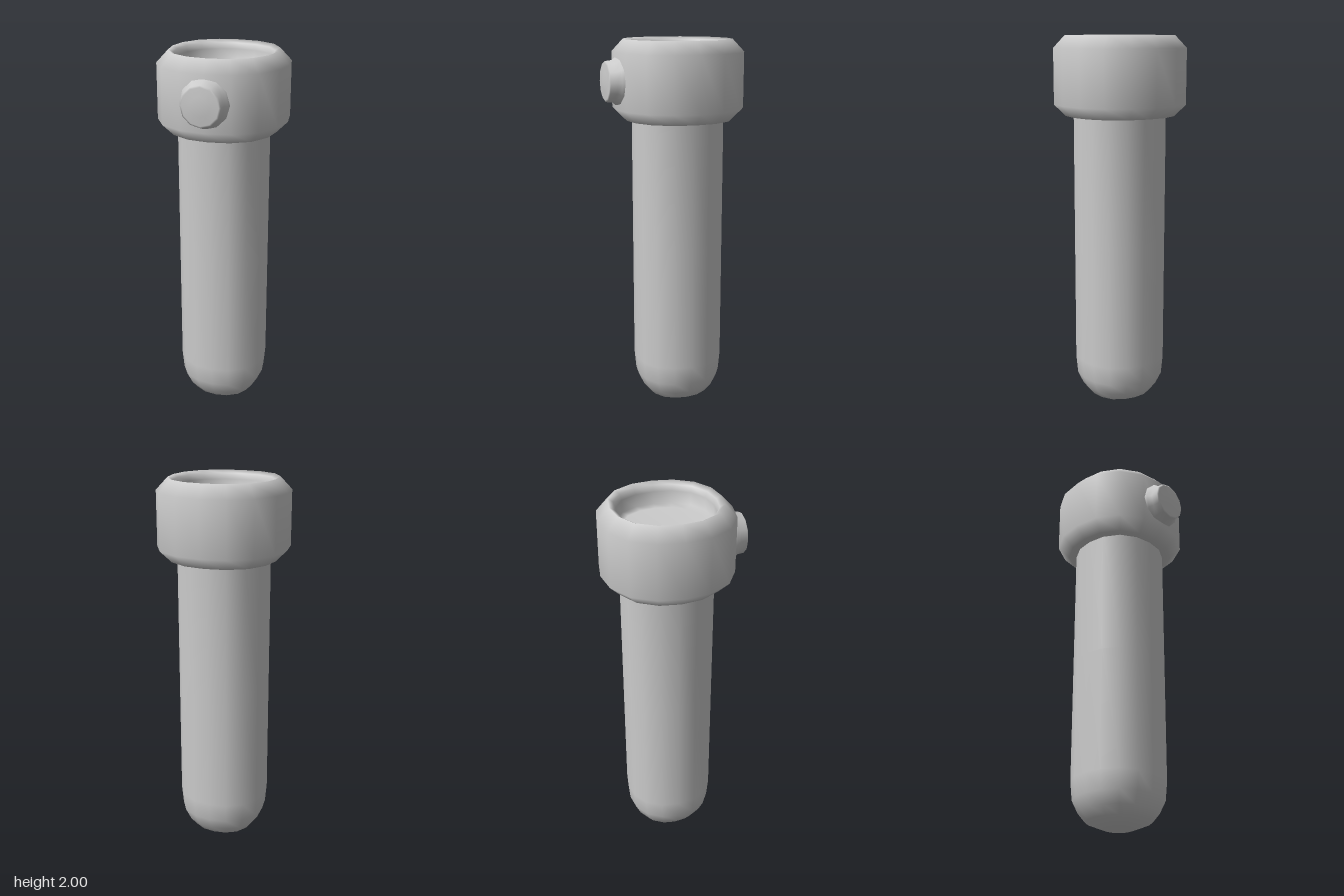
import * as THREE from 'three';
import { mergeVertices } from 'three/addons/utils/BufferGeometryUtils.js';

const AXIS_Z = -0.036;

// Smooth lathe; "square" pushes the diagonals out for a slightly boxy round.
function turned(name, profile, sides, square = 0) {
  let geo = new THREE.LatheGeometry(profile.map(([r, y]) => new THREE.Vector2(r, y)), sides);
  geo.deleteAttribute('uv');
  geo.deleteAttribute('normal');
  const p = geo.attributes.position;
  for (let i = 0; i < p.count; i++) {
    const a = Math.atan2(p.getX(i), p.getZ(i));
    const k = 1 + square * (1 - Math.cos(4 * a));
    p.setXYZ(i, p.getX(i) * k, p.getY(i), p.getZ(i) * k);
  }
  geo = mergeVertices(geo, 1e-4);
  geo.computeVertexNormals();
  const mesh = new THREE.Mesh(geo, new THREE.MeshStandardMaterial({ color: 0xcccccc }));
  mesh.name = name;
  return mesh;
}

export function createModel() {
  const group = new THREE.Group();
  group.name = 'handle';

  // Long grip with a rounded lower end
  const grip = turned('grip', [
    [0, 0], [0.08, 0.005], [0.165, 0.04], [0.2, 0.085], [0.23, 0.15],
    [0.239, 0.25], [0.239, 0.9], [0.239, 1.6],
  ], 16, 0.02);

  // Bevelled collar with a recessed top
  const collar = turned('collar', [
    [0.23, 1.585], [0.28, 1.585], [0.34, 1.645], [0.34, 1.935], [0.28, 2],
    [0.255, 1.985], [0.243, 1.955], [0.243, 1.89], [0.21, 1.88], [0, 1.88],
  ], 16, 0.02);
  grip.position.z = collar.position.z = AXIS_Z;

  // Front button, flared where it meets the collar
  const button = turned('button', [
    [0.135, 0.25], [0.125, 0.3], [0.108, 0.32], [0.104, 0.355],
    [0.095, 0.36], [0.05, 0.36], [0, 0.373],
  ], 12);
  button.geometry.rotateX(Math.PI / 2);
  button.position.y = 1.79;

  group.add(grip, collar, button);
  return group;
}
